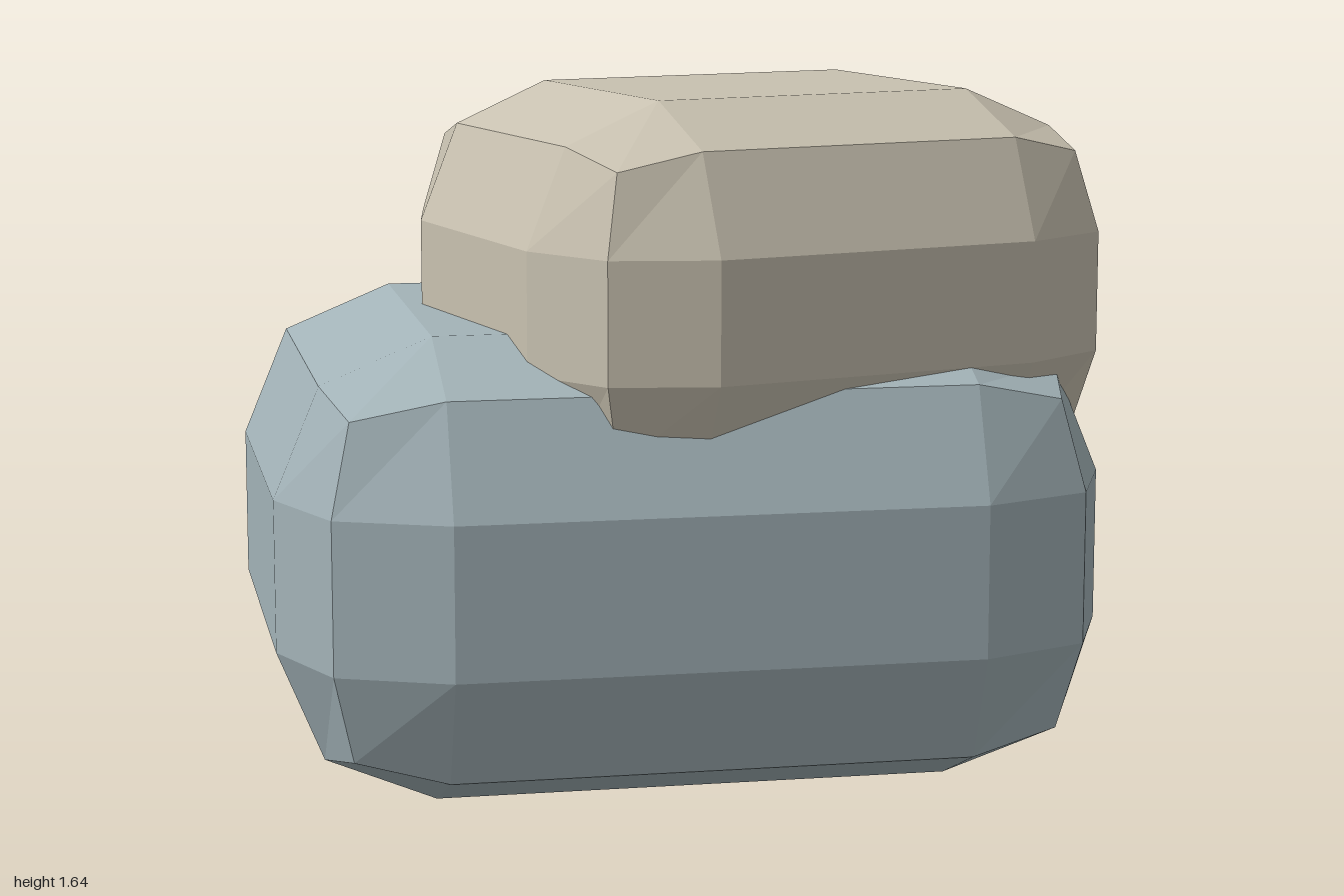
import * as THREE from 'three';
import { RoundedBoxGeometry } from 'three/addons/geometries/RoundedBoxGeometry.js';

// One faceted boulder: a box with a single bevel step on every edge
function stone(name, [w, h, d], radius, color) {
  const mesh = new THREE.Mesh(
    new RoundedBoxGeometry(w, h, d, 1, radius),
    new THREE.MeshStandardMaterial({ color, flatShading: true })
  );
  mesh.name = name;
  return mesh;
}

export function createModel() {
  const group = new THREE.Group();
  group.name = 'stackedStones';

  // Large blue-grey stone resting on the ground
  const lower = stone('lowerStone', [1.97, 1.1, 1.64], 0.37, 0xa3b3b8);
  lower.position.set(-0.015, 0.55, 0);

  // Smaller sandy stone, turned and sunk into the lower one
  const upper = stone('upperStone', [1.47, 0.945, 1.32], 0.33, 0xc8c1b0);
  upper.position.set(0.205, 1.163, 0.063);
  upper.rotation.y = 0.25;

  group.add(lower, upper);
  return group;
}
